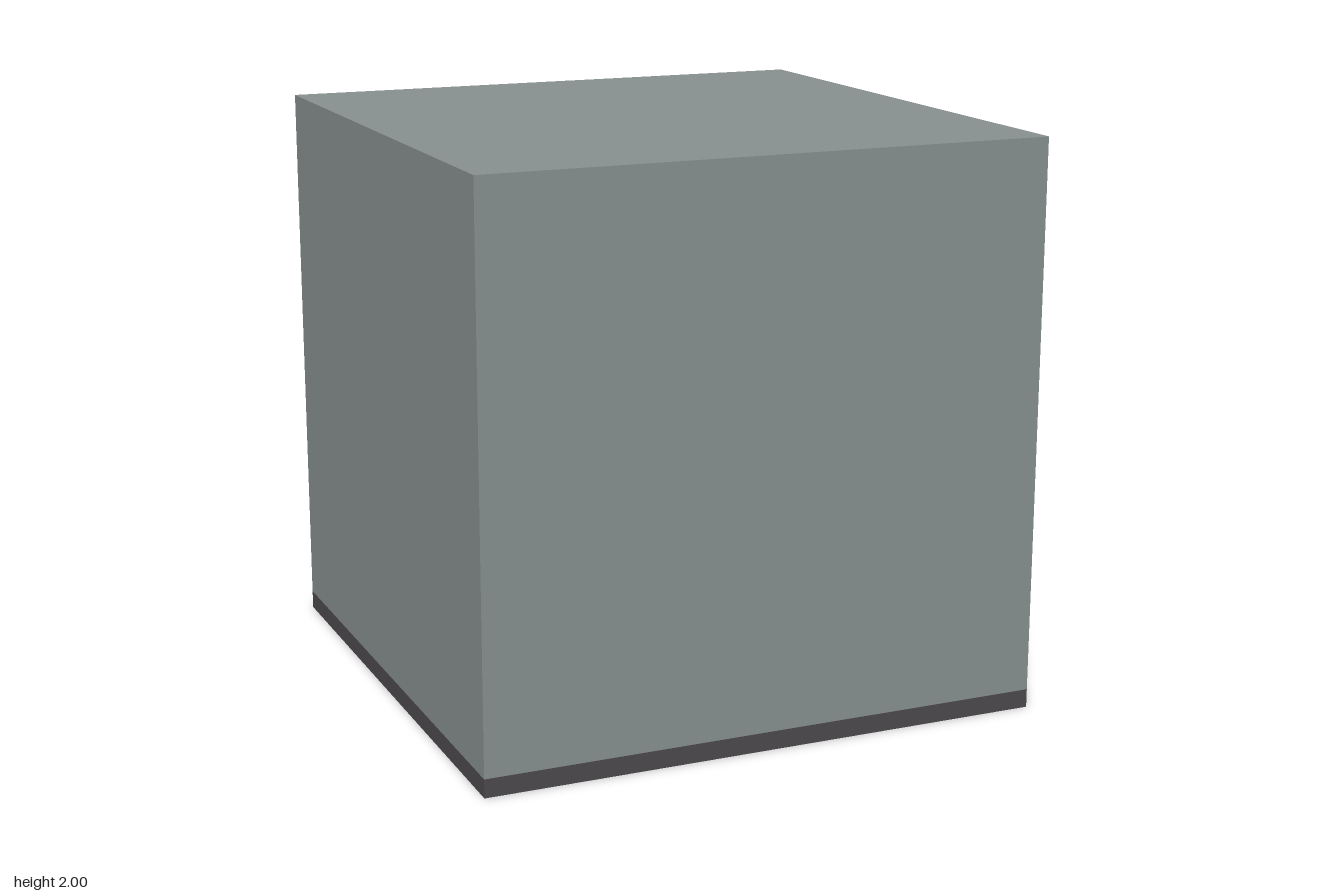
import * as THREE from 'three';

const T = 0.065; // wall, roof and floor thickness

export function createModel() {
  const group = new THREE.Group();
  const wallGrey = new THREE.MeshStandardMaterial({ color: 0x879090 });
  const floorGrey = new THREE.MeshStandardMaterial({ color: 0x4d4a4f });

  const add = (name, geometry, material, x, y, z) => {
    const mesh = new THREE.Mesh(geometry, material);
    mesh.name = name;
    mesh.position.set(x, y, z);
    group.add(mesh);
  };

  // Floor slab
  add('floor', new THREE.BoxGeometry(2, T, 2), floorGrey, 0, T / 2, 0);

  // Side walls and roof as one arch, open at the back
  const i = 1 - T;
  const arch = new THREE.Shape(
    [[-1, T], [-i, T], [-i, 2 - T], [i, 2 - T], [i, T], [1, T], [1, 2], [-1, 2]]
      .map(([x, y]) => new THREE.Vector2(x, y))
  );
  add('wallsAndRoof', new THREE.ExtrudeGeometry(arch, { depth: 2, bevelEnabled: false }), wallGrey, 0, 0, -1);

  // Front wall closes the arch
  add('frontWall', new THREE.BoxGeometry(2 * i, 2 - 2 * T, T), wallGrey, 0, 1, 1 - T / 2);

  // Shallow panel under the roof
  add('ceilingPanel', new THREE.BoxGeometry(0.65, 0.02, 0.4), wallGrey, 0, 2 - T - 0.01, 0);

  return group;
}
